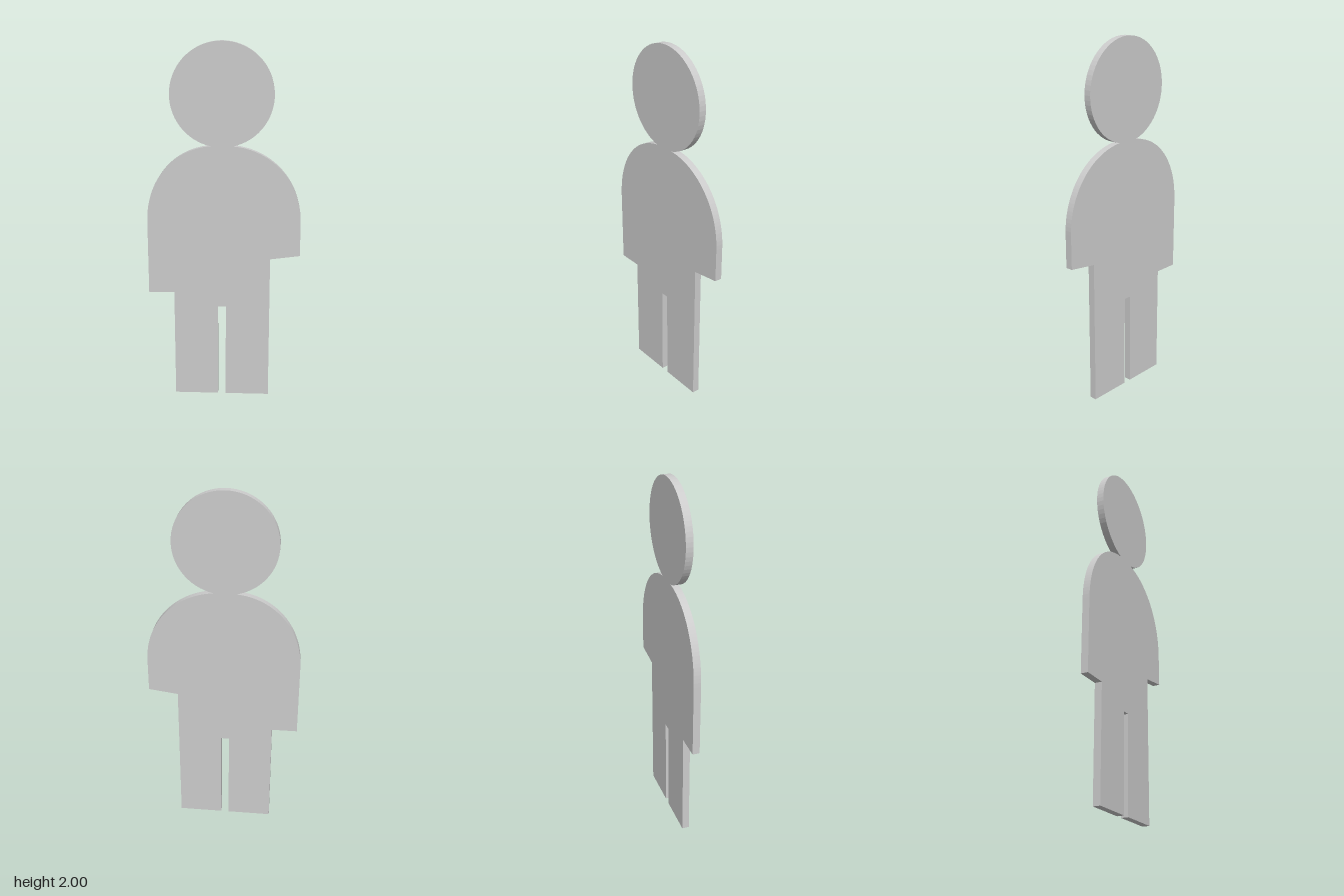
import * as THREE from 'three';

const DEPTH = 0.04;

export function createModel() {
  const group = new THREE.Group();
  const material = new THREE.MeshStandardMaterial({ color: 0xcccccc });

  // Head circle, open at the neck where it joins the shoulders
  const headX = -0.012, headY = 1.7225, headR = 0.2775, neckHalf = 0.06;
  const neckAngle = Math.acos(neckHalf / headR);
  const neckY = headY - headR * Math.sin(neckAngle);

  // One continuous outline, counter-clockwise from the right foot
  const outline = new THREE.Shape();
  outline.moveTo(-0.28, 0);
  outline.lineTo(-0.035, 0);
  // gap between the legs
  outline.lineTo(-0.035, 0.54);
  outline.lineTo(0.01, 0.54);
  outline.lineTo(0.01, 0);
  outline.lineTo(0.255, 0);
  // short left arm with slanted end
  outline.lineTo(0.255, 0.823);
  outline.lineTo(0.418, 0.845);
  outline.lineTo(0.418, 1.03);
  // left shoulder
  outline.bezierCurveTo(0.418, 1.27, 0.25, 1.435, headX + neckHalf, neckY);
  // head
  outline.absarc(headX, headY, headR, -neckAngle, Math.PI + neckAngle, false);
  // right shoulder and long right arm
  outline.bezierCurveTo(-0.27, 1.435, -0.422, 1.27, -0.422, 1.03);
  outline.lineTo(-0.422, 0.62);
  outline.lineTo(-0.28, 0.62);
  outline.closePath();

  const geometry = new THREE.ExtrudeGeometry(outline, {
    depth: DEPTH,
    bevelEnabled: false,
    curveSegments: 32,
  });
  geometry.translate(0, 0, -DEPTH / 2);

  const figure = new THREE.Mesh(geometry, material);
  figure.name = 'figureCutout';
  group.add(figure);
  return group;
}
